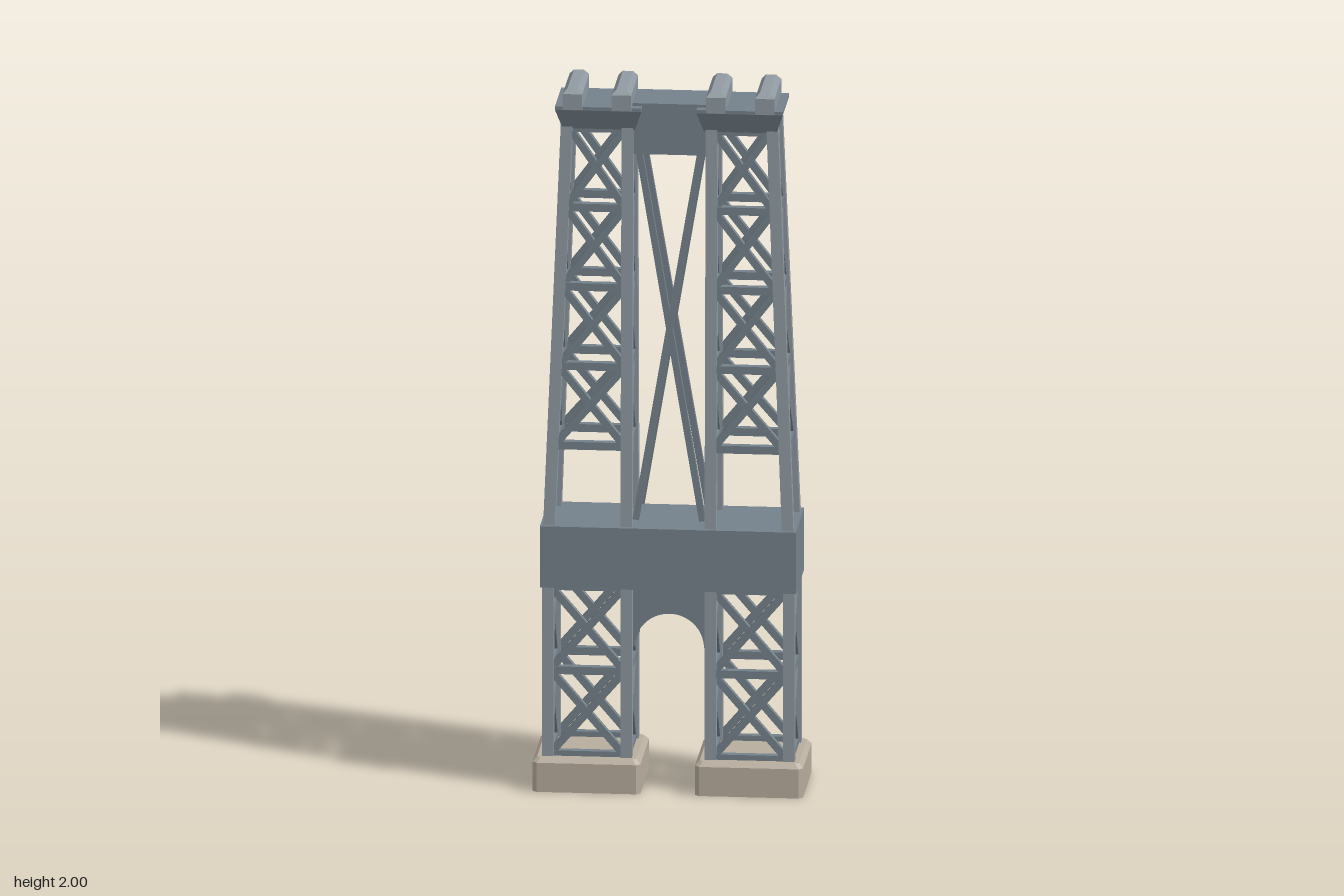
import * as THREE from 'three';

const mat = (color, side = THREE.FrontSide) => new THREE.MeshStandardMaterial({ color, side, flatShading: true });
const POST = mat(0x8f9aa1);
const BRACE = mat(0x75828b);
const DECK = mat(0x75828b);
const STONE = mat(0xb8ad9e, THREE.DoubleSide);

// Rectangle outline in plan, with optional chamfered corners
function ring(y, cx, cz, hx, hz, c = 0) {
  const pts = c
    ? [[hx - c, hz], [hx, hz - c], [hx, c - hz], [hx - c, -hz], [c - hx, -hz], [-hx, c - hz], [-hx, hz - c], [c - hx, hz]]
    : [[hx, hz], [hx, -hz], [-hx, -hz], [-hx, hz]];
  return pts.map(([x, z]) => new THREE.Vector3(cx + x, y, cz + z));
}

// Skin rings from bottom to top and close the ends
function loft(rings, closeBottom = true) {
  const v = [];
  const tri = (...p) => p.forEach((q) => v.push(q.x, q.y, q.z));
  const n = rings[0].length;
  for (let r = 0; r < rings.length - 1; r++) {
    for (let k = 0; k < n; k++) {
      const a = rings[r][k], b = rings[r][(k + 1) % n];
      const c = rings[r + 1][(k + 1) % n], d = rings[r + 1][k];
      tri(a, b, c);
      tri(a, c, d);
    }
  }
  const top = rings[rings.length - 1], bottom = rings[0];
  for (let k = 1; k < n - 1; k++) {
    tri(top[0], top[k], top[k + 1]);
    if (closeBottom) tri(bottom[0], bottom[k + 1], bottom[k]);
  }
  const g = new THREE.BufferGeometry();
  g.setAttribute('position', new THREE.Float32BufferAttribute(v, 3));
  g.computeVertexNormals();
  return g;
}

function add(parent, name, geometry, material) {
  const m = new THREE.Mesh(geometry, material);
  m.name = name;
  parent.add(m);
  return m;
}

// Square bar from a to b, with one face turned to the given normal
function bar(parent, name, a, b, normal, w = 0.02) {
  const dir = b.clone().sub(a);
  const len = dir.length();
  dir.normalize();
  const x = dir.clone().cross(normal).normalize();
  const z = x.clone().cross(dir);
  const g = new THREE.BoxGeometry(w, len, w);
  g.applyMatrix4(new THREE.Matrix4().makeBasis(x, dir, z).setPosition(a.clone().add(b).multiplyScalar(0.5)));
  add(parent, name, g, BRACE);
}

const lerp = THREE.MathUtils.lerp;
const LOWER = () => ({ outer: 0.332, inner: 0.116, z: 0.097 });
const UPPER = (y) => {
  const t = (y - 0.755) / (1.88 - 0.755);
  return { outer: lerp(0.329, 0.284, t), inner: 0.116, z: lerp(0.096, 0.061, t) };
};

// Four posts with crossed bracing on every face
function trussTower(name, side, plan, y0, y1, levels) {
  const tower = new THREE.Group();
  tower.name = name;
  const h = 0.016;
  const corner = (k, y) => {
    const p = plan(y);
    return new THREE.Vector3(side * (k === 0 || k === 3 ? p.outer : p.inner), y, k < 2 ? p.z : -p.z);
  };
  const normals = [[0, 0, 1], [1, 0, 0], [0, 0, 1], [1, 0, 0]].map((n) => new THREE.Vector3(...n));
  for (let k = 0; k < 4; k++) {
    const a = corner(k, y0), b = corner(k, y1);
    add(tower, 'post', loft([ring(y0, a.x, a.z, h, h), ring(y1, b.x, b.z, h, h)]), POST);
    const next = (k + 1) % 4;
    // Point on this face beside post i, just inside its edge
    const inset = (i, j, y) => {
      const p = corner(i, y), q = corner(j, y);
      return p.add(q.sub(p).setLength(0.012));
    };
    levels.forEach((y, i) => {
      bar(tower, 'horizontalBrace', corner(k, y), corner(next, y), normals[k], 0.022);
      if (i === levels.length - 1) return;
      const lo = y + 0.008, hi = levels[i + 1] - 0.008;
      bar(tower, 'diagonalBrace', inset(k, next, lo), inset(next, k, hi), normals[k]);
      bar(tower, 'diagonalBrace', inset(next, k, lo), inset(k, next, hi), normals[k]);
    });
  }
  return tower;
}

export function createModel() {
  const model = new THREE.Group();
  model.name = 'bridgeTower';

  for (const s of [1, -1]) {
    const label = s > 0 ? 'left' : 'right';

    // Stone plinth, open underneath
    add(model, label + 'Plinth', loft([
      ring(0, s * 0.224, 0, 0.149, 0.139, 0.012),
      ring(0.083, s * 0.224, 0, 0.149, 0.139, 0.012),
      ring(0.096, s * 0.224, 0, 0.137, 0.127, 0.01),
    ], false), STONE);

    // Truss legs below and above the deck
    model.add(trussTower(label + 'LowerLeg', s, LOWER, 0.09, 0.59, [0.1, 0.34, 0.58]));
    model.add(trussTower(label + 'UpperLeg', s, UPPER, 0.75, 1.89, [0.98, 1.205, 1.43, 1.655, 1.88]));

    // Flared cap
    add(model, label + 'Cap', loft([
      ring(1.88, s * 0.195, 0, 0.1, 0.075),
      ring(1.937, s * 0.195, 0, 0.119, 0.095),
      ring(1.947, s * 0.195, 0, 0.119, 0.095),
    ]), DECK);

    // Two cable saddles with bevelled tops
    for (const x of [0.13, 0.265]) {
      add(model, label + 'Saddle', loft([
        ring(1.94, s * x, 0, 0.027, 0.103),
        ring(1.985, s * x, 0, 0.027, 0.103),
        ring(2, s * x, 0, 0.014, 0.091),
      ]), POST);
    }
  }

  // Deck block
  add(model, 'deck', new THREE.BoxGeometry(0.706, 0.175, 0.25).translate(0, 0.6675, 0), DECK);

  // Arched portal between the lower legs
  const arch = new THREE.Shape();
  arch.moveTo(0.105, 0.59);
  arch.lineTo(-0.105, 0.59);
  arch.lineTo(-0.105, 0.405);
  arch.lineTo(-0.095, 0.405);
  arch.absarc(0, 0.405, 0.095, Math.PI, 0, true);
  arch.lineTo(0.105, 0.405);
  arch.closePath();
  const archGeometry = new THREE.ExtrudeGeometry(arch, { depth: 0.15, bevelEnabled: false, curveSegments: 20 });
  add(model, 'portalArch', archGeometry.translate(0, 0, -0.075), DECK);

  // Beam joining the tops
  add(model, 'topBeam', new THREE.BoxGeometry(0.21, 0.145, 0.142).translate(0, 1.8825, 0), DECK);

  // Tall crossed braces between the upper legs, front and back
  for (const z of [1, -1]) {
    for (const s of [1, -1]) {
      bar(model, 'centreBrace', new THREE.Vector3(s * 0.092, 0.77, z * 0.08),
        new THREE.Vector3(-s * 0.092, 1.86, z * 0.058), new THREE.Vector3(0, 0, 1), 0.018);
    }
  }
  return model;
}
